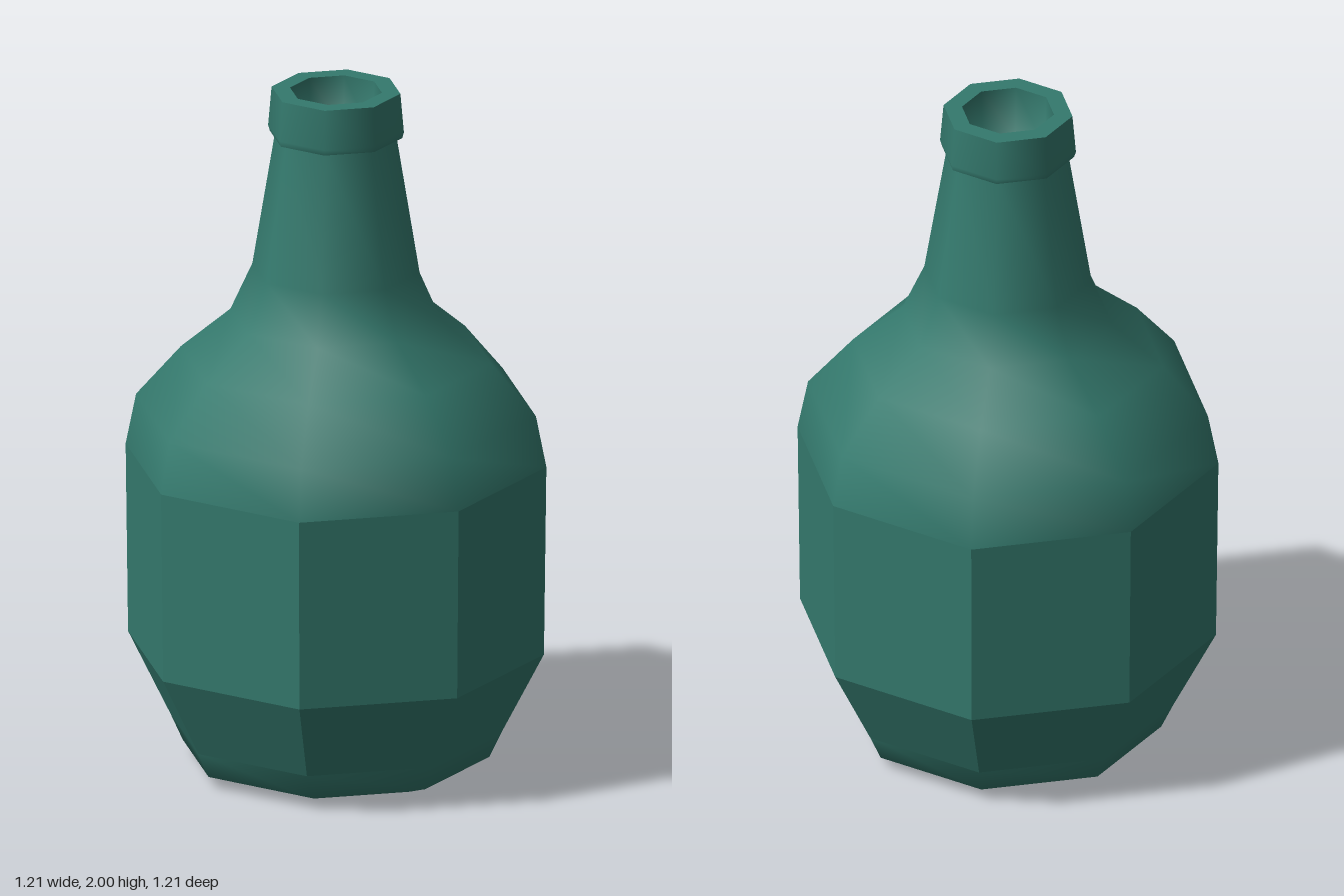
import * as THREE from 'three';

const SIDES = 8;

export function createModel() {
  const group = new THREE.Group();
  group.name = 'bottle';
  const color = 0x34796d;
  const smooth = new THREE.MeshStandardMaterial({ color });
  const faceted = new THREE.MeshStandardMaterial({ color, flatShading: true });

  // Turns a profile of [radius, height] points into an eight-sided ring
  function turn(name, profile, material) {
    const points = profile.map(([r, y]) => new THREE.Vector2(r, y));
    const mesh = new THREE.Mesh(new THREE.LatheGeometry(points, SIDES), material);
    mesh.name = name;
    group.add(mesh);
  }

  // Rounded foot with its underside
  turn('base', [[0, 0], [0.36, 0.005], [0.44, 0.035], [0.475, 0.11]], smooth);

  // Flat glass panels: flared lower band and upright band
  turn('body', [[0.475, 0.11], [0.597, 0.35], [0.604, 0.91]], faceted);

  // Domed shoulder flowing into the tapering neck
  turn('shoulderAndNeck', [
    [0.604, 0.91], [0.574, 1.06], [0.445, 1.21], [0.303, 1.33],
    [0.24, 1.47], [0.174, 1.87],
  ], smooth);

  // Collar around the mouth
  turn('lipUnderside', [[0.172, 1.87], [0.19, 1.868]], faceted);
  turn('lip', [[0.19, 1.868], [0.195, 1.885], [0.185, 2]], smooth);
  turn('rim', [[0.185, 2], [0.132, 2]], faceted);

  // Recessed mouth, closed inside the neck
  turn('mouth', [[0.132, 2], [0.125, 1.84], [0, 1.8]], smooth);

  return group;
}
